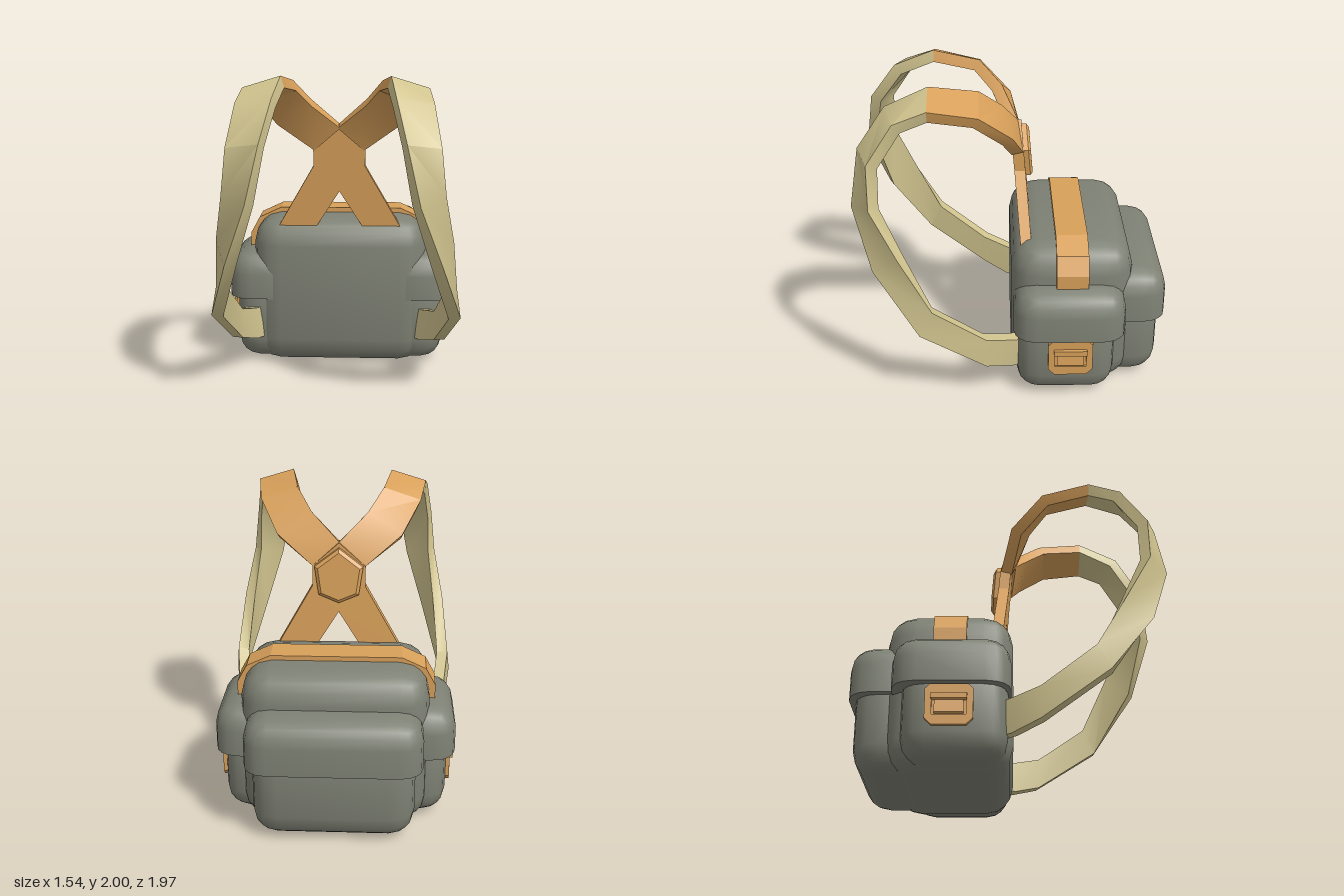
import * as THREE from 'three';
import { toCreasedNormals } from 'three/addons/utils/BufferGeometryUtils.js';
import { RoundedBoxGeometry } from 'three/addons/geometries/RoundedBoxGeometry.js';

const V = (a) => new THREE.Vector3(...a);

// Rounded box between two corners; with cut, everything below that height is flattened
function softBox(min, max, r, cut = -Infinity) {
  const a = V(min), b = V(max), size = b.clone().sub(a), mid = a.clone().add(b).multiplyScalar(0.5);
  const g = new RoundedBoxGeometry(size.x, size.y, size.z, 2, r);
  g.translate(mid.x, mid.y, mid.z);
  const p = g.attributes.position;
  for (let i = 0; i < p.count; i++) p.setY(i, Math.max(p.getY(i), cut));
  return toCreasedNormals(g, 0.9);
}

// Reflects a geometry across x = 0 and restores the winding
function mirrorX(geo) {
  const g = geo.index ? geo.toNonIndexed() : geo.clone();
  g.scale(-1, 1, 1);
  for (const name of ['position', 'normal']) {
    const p = g.attributes[name];
    for (let i = 0; i < p.count; i += 3) {
      const b = new THREE.Vector3().fromBufferAttribute(p, i + 1);
      const c = new THREE.Vector3().fromBufferAttribute(p, i + 2);
      p.setXYZ(i + 1, c.x, c.y, c.z);
      p.setXYZ(i + 2, b.x, b.y, b.z);
    }
  }
  return g;
}

// Ribbon with thickness, from [inner edge, outer edge] pairs on its outer face
function ribbon(stations, from, to, t) {
  const mids = stations.map(([i, o]) => V(i).add(V(o)).multiplyScalar(0.5));
  const rings = stations.map(([i, o], k) => {
    const I = V(i), O = V(o);
    const along = mids[Math.min(k + 1, mids.length - 1)].clone().sub(mids[Math.max(k - 1, 0)]);
    const inward = O.clone().sub(I).cross(along).setLength(t);
    return [I, O, O.clone().add(inward), I.clone().add(inward)];
  }).slice(from, to + 1);
  const pos = [];
  const quad = (a, b, c, d) => [a, b, c, a, c, d].forEach((v) => pos.push(v.x, v.y, v.z));
  for (let k = 0; k < rings.length - 1; k++) {
    for (let j = 0; j < 4; j++) {
      const n = (j + 1) % 4;
      quad(rings[k][j], rings[k + 1][j], rings[k + 1][n], rings[k][n]);
    }
  }
  quad(...rings[0]);
  quad(...rings[rings.length - 1].slice().reverse());
  const g = new THREE.BufferGeometry();
  g.setAttribute('position', new THREE.Float32BufferAttribute(pos, 3));
  return toCreasedNormals(g, 0.6);
}

// Shape from the +x half of an outline, completed by mirroring
function mirroredShape(half) {
  const rest = half.filter(([x]) => x > 0).reverse().map(([x, y]) => [-x, y]);
  return new THREE.Shape([...half, ...rest].map(([x, y]) => new THREE.Vector2(x, y)));
}

const points = (list) => list.map(([x, y]) => new THREE.Vector2(x, y));

export function createModel() {
  const model = new THREE.Group();
  model.name = 'backpack';
  const colour = (name, hex) => {
    const m = new THREE.MeshStandardMaterial({ color: hex });
    m.name = name;
    return m;
  };
  const canvas = colour('grey canvas', 0x7e8174);
  const leather = colour('orange leather', 0xd8a05a);
  const webbing = colour('tan webbing', 0xd0c38e);
  const add = (name, geo, mat) => {
    const m = new THREE.Mesh(geo, mat);
    m.name = name;
    model.add(m);
  };
  const addPair = (name, geo, mat) => {
    add(name + 'Left', geo, mat);
    add(name + 'Right', mirrorX(geo), mat);
  };

  // Main bag and pockets
  add('body', softBox([-0.58, 0, -0.76], [0.58, 1.01, 0.01], 0.18), canvas);
  add('backPocket', softBox([-0.5, 0.01, -0.95], [0.5, 0.65, -0.5], 0.16), canvas);
  add('backPocketFlap', softBox([-0.545, 0.32, -0.985], [0.545, 0.805, -0.5], 0.15, 0.475), canvas);
  addPair('sidePocket', softBox([0.3, 0.02, -0.65], [0.7, 0.6, -0.02], 0.15), canvas);
  addPair('sidePocketFlap', softBox([0.3, 0.31, -0.71], [0.75, 0.775, 0], 0.15, 0.46), canvas);

  // Band over the top of the bag
  const band = mirroredShape([
    [0.62, 0.77], [0.62, 0.86], [0.56, 0.97], [0.41, 1.04]]);
  band.holes.length = 0;
  const bandGeo = new THREE.ExtrudeGeometry(band, { depth: 0.2, bevelEnabled: false });
  bandGeo.translate(0, 0, -0.47);
  add('topBand', bandGeo, leather);

  // Shoulder straps: leather over the shoulder, webbing down to the bag
  const strap = [
    [[0, 1.65, -0.04], [0.17, 1.5, -0.07]],
    [[0.18, 1.82, 0.06], [0.4, 1.69, 0.0]],
    [[0.28, 1.95, 0.2], [0.52, 1.87, 0.2]],
    [[0.33, 2.0, 0.5], [0.56, 1.93, 0.5]],
    [[0.36, 1.89, 0.76], [0.58, 1.86, 0.7]],
    [[0.42, 1.65, 0.93], [0.62, 1.62, 0.86]],
    [[0.5, 1.3, 0.98], [0.65, 1.34, 0.86]],
    [[0.64, 0.92, 0.86], [0.71, 1.04, 0.7]],
    [[0.77, 0.53, 0.58], [0.75, 0.69, 0.5]],
    [[0.7, 0.25, 0.17], [0.7, 0.45, 0.17]],
    [[0.61, 0.19, 0], [0.63, 0.4, 0]],
    [[0.55, 0.18, -0.1], [0.58, 0.38, -0.1]],
  ];
  addPair('shoulderStrap', ribbon(strap, 0, 3, 0.075), leather);
  addPair('lowerStrap', ribbon(strap, 3, strap.length - 1, 0.075), webbing);

  // Crossed yoke, leaning back towards the bag
  const yoke = mirroredShape([
    [0, 1.2], [0.165, 0.94], [0.41, 0.95], [0.17, 1.37], [0.17, 1.5], [0, 1.65]]);
  const yokeGeo = new THREE.ExtrudeGeometry(yoke, { depth: 0.07, bevelEnabled: false });
  const yp = yokeGeo.attributes.position;
  for (let i = 0; i < yp.count; i++) yp.setZ(i, yp.getZ(i) - 0.07 - (1.55 - yp.getY(i)) * 0.085);
  yokeGeo.computeVertexNormals();
  add('yoke', yokeGeo, leather);

  // Six-sided pad behind the crossing
  const pad = mirroredShape([[0, 1.28], [0.12, 1.33], [0.145, 1.5], [0, 1.61]]);
  const padGeo = new THREE.ExtrudeGeometry(pad, {
    depth: 0.04, bevelThickness: 0.015, bevelSize: 0.02, bevelOffset: -0.01, bevelSegments: 1 });
  const pp = padGeo.attributes.position;
  for (let i = 0; i < pp.count; i++) pp.setZ(i, pp.getZ(i) - 0.1 - (1.55 - pp.getY(i)) * 0.085);
  padGeo.computeVertexNormals();
  add('yokePad', padGeo, leather);

  // Side buckles, drawn in (-z, y) and turned to face sideways
  const frame = new THREE.Shape(points([
    [0.22, 0.24], [0.26, 0.2], [0.46, 0.2], [0.5, 0.24], [0.5, 0.42], [0.47, 0.45], [0.25, 0.45], [0.22, 0.42]]));
  const window_ = points([[0.26, 0.26], [0.26, 0.39], [0.46, 0.39], [0.46, 0.26]]);
  const sideways = (shape, x0, depth) => {
    const g = new THREE.ExtrudeGeometry(shape, { depth, bevelEnabled: false });
    g.rotateY(Math.PI / 2);
    return g.translate(x0, 0, 0);
  };
  addPair('bucklePlate', sideways(frame, 0.66, 0.05), leather);
  const rim = frame.clone();
  rim.holes.push(new THREE.Path(window_));
  addPair('buckleRim', sideways(rim, 0.7, 0.025), leather);
  const bar = new THREE.BoxGeometry(0.05, 0.035, 0.21);
  bar.translate(0.72, 0.37, -0.36);
  addPair('buckleBar', bar, leather);
  const tongue = new THREE.BoxGeometry(0.03, 0.08, 0.17);
  tongue.rotateZ(0.12);
  tongue.translate(0.712, 0.31, -0.36);
  addPair('buckleTongue', tongue, leather);
  return model;
}
